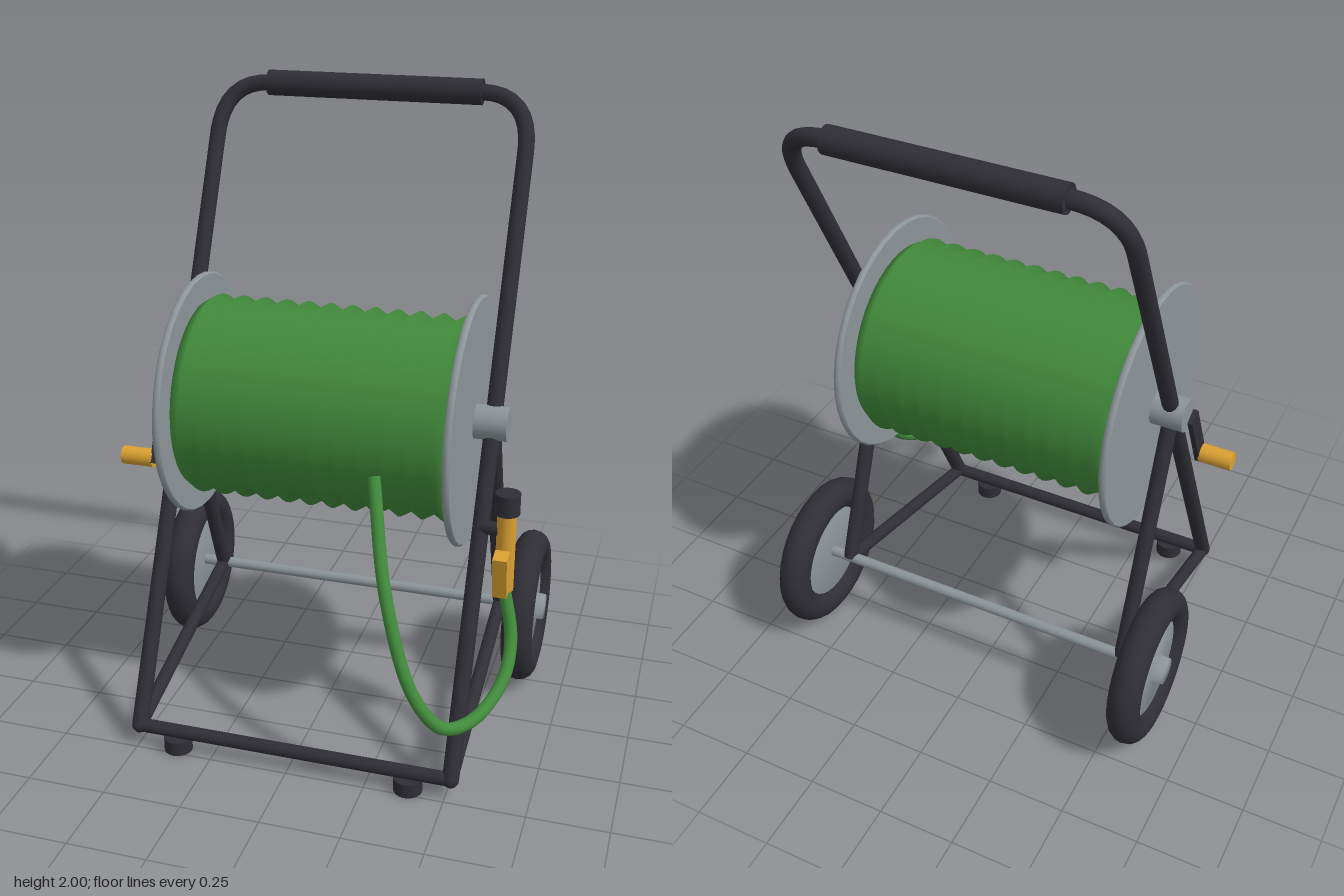
import * as THREE from 'three';

const mat = (name, color) => {
  const m = new THREE.MeshStandardMaterial({ color });
  m.name = name;
  return m;
};
const V = (x, y, z) => new THREE.Vector3(x, y, z);
const UP = V(0, 1, 0);

export function createModel() {
  const dark = mat('charcoal', 0x2f2e35);
  const steel = mat('steel grey', 0x8c9599);
  const green = mat('hose green', 0x418a3b);
  const brass = mat('brass yellow', 0xdba032);
  const model = new THREE.Group();
  model.name = 'hoseReelCart';

  const add = (name, geo, material, pos) => {
    const mesh = new THREE.Mesh(geo, material);
    mesh.name = name;
    if (pos) mesh.position.copy(pos);
    model.add(mesh);
    return mesh;
  };
  // Cylinder between two points
  const rod = (name, a, b, r, material, sides = 16) => {
    const dir = b.clone().sub(a);
    const mesh = add(name, new THREE.CylinderGeometry(r, r, dir.length(), sides), material,
      a.clone().add(b).multiplyScalar(0.5));
    mesh.quaternion.setFromUnitVectors(UP, dir.normalize());
    return mesh;
  };
  // Lathe turned about the x axis; profile pairs are [radius, x]
  const latheX = (name, profile, material, pos, segments = 32) => {
    const geo = new THREE.LatheGeometry(profile.map(([r, x]) => new THREE.Vector2(r, x)), segments);
    geo.rotateZ(-Math.PI / 2);
    return add(name, geo, material, pos);
  };

  const railX = 0.507, reelY = 1.04, axleY = 0.262, axleZ = -0.307;
  const frontY = 0.062, frontZ = 0.468, topY = 1.963, topZ = -0.447;
  // Point on the sloping plane of the handle frame at a given height
  const onSlope = (x, y) => V(x, y, THREE.MathUtils.lerp(frontZ, topZ, (y - frontY) / (topY - frontY)));

  // Bent handle frame with rounded upper corners
  const path = new THREE.CurvePath();
  const l0 = onSlope(-railX, frontY), l1 = onSlope(-railX, 1.80), l2 = onSlope(-0.35, topY);
  const r0 = onSlope(railX, frontY), r1 = onSlope(railX, 1.80), r2 = onSlope(0.35, topY);
  path.add(new THREE.LineCurve3(l0, l1));
  path.add(new THREE.QuadraticBezierCurve3(l1, onSlope(-railX, topY), l2));
  path.add(new THREE.LineCurve3(l2, r2));
  path.add(new THREE.QuadraticBezierCurve3(r2, onSlope(railX, topY), r1));
  path.add(new THREE.LineCurve3(r1, r0));
  add('handleFrame', new THREE.TubeGeometry(path, 160, 0.026, 12), dark);
  rod('handleGrip', V(-0.352, topY, topZ), V(0.352, topY, topZ), 0.041, dark, 20);

  // Lower frame
  rod('frontCrossbar', l0, r0, 0.022, dark);
  rod('axle', V(-0.66, axleY, axleZ), V(0.66, axleY, axleZ), 0.018, steel);

  for (const s of [-1, 1]) {
    const side = s > 0 ? 'left' : 'right';
    const front = V(s * railX, frontY, frontZ);
    const axle = V(s * railX, axleY, axleZ);
    add(side + 'FrameEnd', new THREE.SphereGeometry(0.026, 12, 8), dark, front);
    rod(side + 'RearLeg', V(s * railX, reelY, 0), axle, 0.025, dark);
    rod(side + 'BaseRail', front, axle, 0.022, dark);
    rod(side + 'Foot', V(s * 0.376, 0, 0.47), V(s * 0.376, 0.046, 0.47), 0.045, dark, 20);

    // Wheel: tyre and dished rim with a raised hub on both faces
    const wheelPos = V(s * 0.599, axleY, axleZ);
    const tyre = add(side + 'Tyre', new THREE.TorusGeometry(0.205, 0.052, 16, 32), dark, wheelPos);
    tyre.rotation.y = Math.PI / 2;
    latheX(side + 'Rim', [[0, -0.022], [0.17, -0.022], [0.17, 0.022], [0.045, 0.024],
      [0.043, 0.061], [0, 0.063]].map(([r, x]) => [r, x]), steel, wheelPos)
      .rotation.y = s > 0 ? 0 : Math.PI;

    // Reel flange with a softened edge, and bearing
    latheX(side + 'Flange', [[0, -0.011], [0.382, -0.011], [0.382, -0.011], [0.388, -0.005],
      [0.388, 0.005], [0.382, 0.011], [0.382, 0.011], [0, 0.011]], steel, V(s * 0.4425, reelY, 0), 36);
    rod(side + 'Bearing', V(s * 0.44, reelY, 0), V(s * 0.557, reelY, 0), 0.054, steel, 24);
  }

  // Wound hose: ridged drum
  const coil = [[0, -0.433]];
  const turns = 12;
  for (let i = 0; i <= turns * 2; i++) {
    coil.push([i % 2 ? 0.32 : 0.298, -0.433 + (0.866 * i) / (turns * 2)]);
  }
  coil.push([0, 0.433]);
  latheX('woundHose', coil, green, V(0, reelY, 0), 48);

  // Crank on the right side
  const arm = add('crankArm', new THREE.BoxGeometry(0.016, 0.25, 0.052), dark, V(-0.573, 0.927, 0.054));
  arm.rotation.x = -Math.atan2(0.107, 0.225);
  rod('crankKnob', V(-0.684, 0.83, 0.1), V(-0.578, 0.83, 0.1), 0.03, brass, 20);

  // Loose hose end hanging in a loop up to the nozzle
  const loop = new THREE.CatmullRomCurve3([
    V(0.212, 0.95, 0.30), V(0.297, 0.64, 0.465), V(0.40, 0.38, 0.538), V(0.485, 0.272, 0.518),
    V(0.56, 0.262, 0.435), V(0.622, 0.325, 0.29), V(0.626, 0.42, 0.20), V(0.589, 0.57, 0.152)]);
  add('looseHose', new THREE.TubeGeometry(loop, 64, 0.02, 12), green);

  // Nozzle clipped to the left rail
  const nx = 0.588, nz = 0.151;
  rod('nozzleBody', V(nx, 0.56, nz), V(nx, 0.82, nz), 0.03, brass, 20);
  rod('nozzleTip', V(nx, 0.815, nz), V(nx, 0.882, nz), 0.039, dark, 20);
  const grip = add('nozzleLever', new THREE.BoxGeometry(0.044, 0.145, 0.05), brass, V(nx, 0.64, 0.213));
  grip.rotation.x = 0.23;
  rod('nozzleBracket', V(railX, 0.757, 0.141), V(nx, 0.757, nz), 0.022, dark);

  // Balance the overall width about x = 0
  model.children.forEach((part) => { part.position.x += 0.0075; });
  return model;
}
